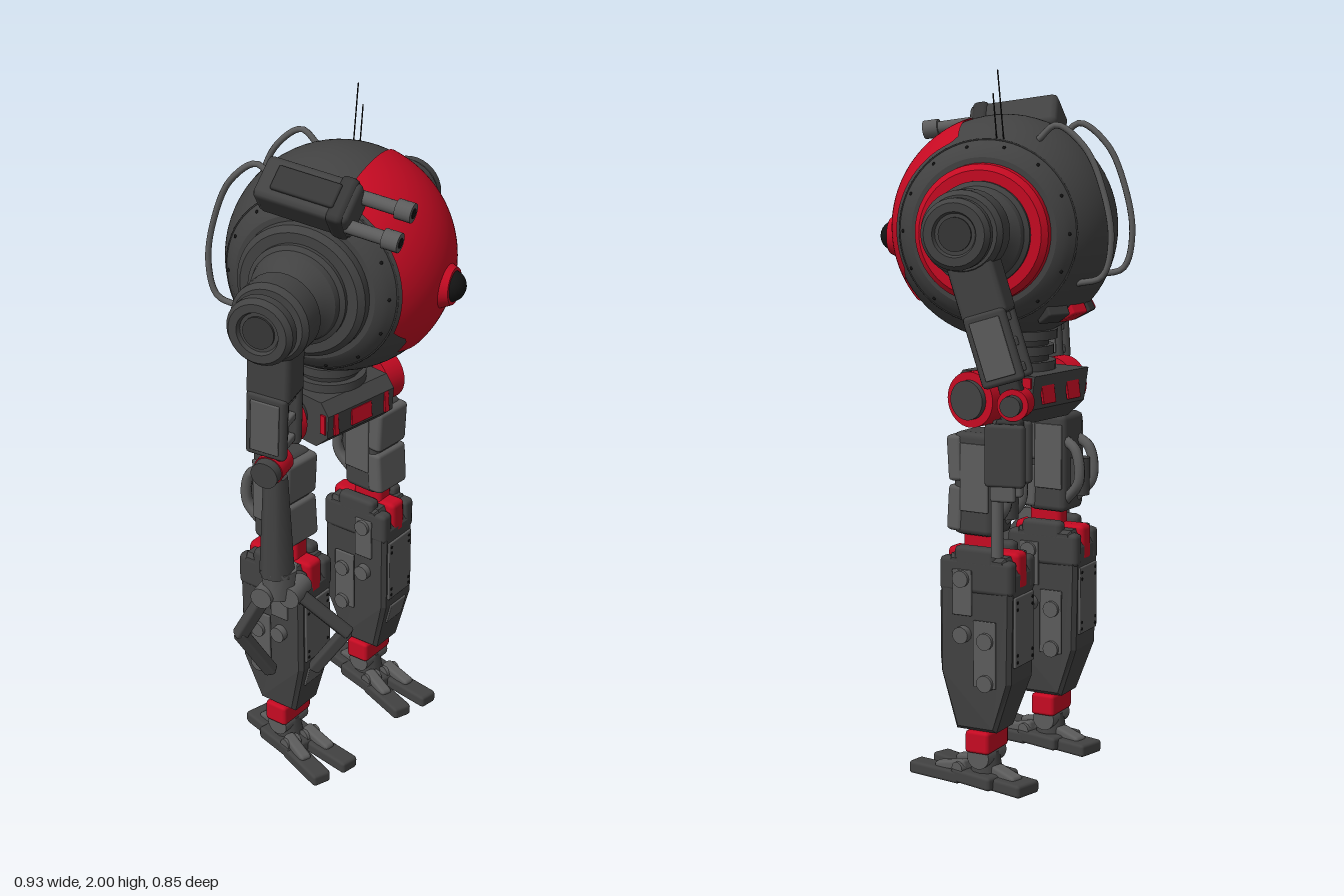
import * as THREE from 'three';
import { toCreasedNormals } from 'three/addons/utils/BufferGeometryUtils.js';
import { RoundedBoxGeometry } from 'three/addons/geometries/RoundedBoxGeometry.js';

const paint = (name, color) => {
  const m = new THREE.MeshStandardMaterial({ color });
  m.name = name;
  return m;
};
const DARK = paint('dark grey', 0x424242);
const MID = paint('mid grey', 0x5c5c5c);
const DEEP = paint('deep grey', 0x363636);
const RED = paint('red', 0xc60a22);
const BLACK = paint('black', 0x141414);
RED.side = THREE.DoubleSide;

function add(parent, name, geo, mat, pos = [0, 0, 0], rot = [0, 0, 0]) {
  const m = new THREE.Mesh(geo, mat);
  m.name = name;
  m.position.set(...pos);
  m.rotation.set(...rot);
  parent.add(m);
  return m;
}
function group(parent, name, pos = [0, 0, 0], rot = [0, 0, 0]) {
  const g = new THREE.Group();
  g.name = name;
  g.position.set(...pos);
  g.rotation.set(...rot);
  parent.add(g);
  return g;
}
const box = (w, h, d, r = 0.01) => new RoundedBoxGeometry(w, h, d, 1, r);
const cyl = (r1, r2, h, n = 24) => new THREE.CylinderGeometry(r1, r2, h, n);
const cylX = (r, w, n = 28) => cyl(r, r, w, n).rotateZ(Math.PI / 2);
const cylZ = (r1, r2, w, n = 24) => cyl(r1, r2, w, n).rotateX(Math.PI / 2);
// turned part whose axis runs out along x; s = 1 left, -1 right
function turnX(points, s = 1, n = 48) {
  const g = new THREE.LatheGeometry(points.map(p => new THREE.Vector2(...p)), n);
  g.rotateZ(-s * Math.PI / 2);
  return toCreasedNormals(g, 0.5);
}
function tube(pts, r, n = 24) {
  const curve = new THREE.CatmullRomCurve3(pts.map(p => new THREE.Vector3(...p)));
  return new THREE.TubeGeometry(curve, n, r, 8);
}
// straight bar between two points
function beam(parent, name, a, b, w, d, mat) {
  const A = new THREE.Vector3(...a), B = new THREE.Vector3(...b);
  const m = add(parent, name, box(w, A.distanceTo(B) + w * 0.5, d, 0.008), mat);
  m.position.copy(A).lerp(B, 0.5);
  m.quaternion.setFromUnitVectors(new THREE.Vector3(0, 1, 0), B.sub(A).normalize());
}

const R = 0.317, CY = 1.56;

function buildBody(up) {
  // ball with flat sides
  const prof = [[0, -0.235], [0.205, -0.235]];
  for (let i = 0; i <= 32; i++) {
    const x = -0.225 + 0.45 * i / 32;
    prof.push([Math.sqrt(R * R - x * x), x]);
  }
  prof.push([0.205, 0.235], [0, 0.235]);
  add(up, 'body', turnX(prof, 1, 72), DARK, [0, CY, 0]);

  // curved front plate with a stepped lower edge
  const plate = new THREE.PlaneGeometry(1, 1, 24, 40), p = plate.attributes.position;
  for (let i = 0; i < p.count; i++) {
    const v = p.getY(i) + 0.5;
    const hw = v < 0.09 ? 0.125 : v < 0.14 ? 0.125 + 1.2 * (v - 0.09) : v > 0.96 ? 0.187 - 0.4 * (v - 0.96) : 0.187;
    const x = p.getX(i) * 2 * hw, a = THREE.MathUtils.degToRad(-41 + 112 * v);
    const rho = Math.sqrt((R + 0.005) ** 2 - x * x);
    p.setXYZ(i, x, rho * Math.sin(a), rho * Math.cos(a));
  }
  plate.computeVertexNormals();
  add(up, 'frontPlate', plate, RED, [0, CY, 0]);

  // eye
  add(up, 'eyeRing', cylZ(0.052, 0.07, 0.04, 32), RED, [0, 1.53, 0.318]);
  add(up, 'eye', new THREE.SphereGeometry(0.045, 20, 12), BLACK, [0, 1.53, 0.325]);

  for (const s of [1, -1]) {
    // seams and rivets
    add(up, 'seam', new THREE.TorusGeometry(0.252, 0.003, 6, 64).rotateY(Math.PI / 2), DEEP, [s * 0.192, CY, 0]);
    for (let i = 0; i < 14; i++) {
      const a = i / 14 * Math.PI * 2, q = 0.236;
      add(up, 'rivet', new THREE.SphereGeometry(0.005, 6, 4), BLACK, [s * 0.212, CY + q * Math.sin(a), q * Math.cos(a)]);
    }
    // shoulder collar and neck
    add(up, 'collarRing', turnX([[0.187, 0.215], [0.19, 0.235], [0.188, 0.258], [0.172, 0.273], [0.12, 0.273]], s), s > 0 ? RED : DARK, [0, CY, 0]);
    add(up, 'shoulderCone', turnX([[0.143, 0.26], [0.143, 0.285], [0.13, 0.293], [0.125, 0.31], [0.09, 0.34], [0.07, 0.38]], s), DARK, [0, CY, 0]);
    // back hoop
    const hoop = [[1.81, -0.13], [1.85, -0.18], [1.79, -0.26], [1.68, -0.31], [1.54, -0.335], [1.44, -0.31], [1.42, -0.24]];
    add(up, 'backHoop', tube(hoop.map(([y, z]) => [s * 0.142, y, z]), 0.009, 40), MID);
  }

  // lower back blocks
  for (let i = -2; i <= 2; i++) {
    const b = group(up, 'rearBlock', [0, 0, 0], [0, i * 0.34, 0]);
    add(b, 'ventBlock', box(0.072, 0.06, 0.06, 0.006), i % 2 ? RED : DEEP, [0, 1.345, -0.215], [0.5, 0, 0]);
  }

  // aerials
  beam(up, 'aerial', [0.19, 1.76, -0.05], [0.168, 1.998, -0.022], 0.004, 0.004, BLACK);
  beam(up, 'aerial', [0.19, 1.76, -0.03], [0.178, 1.935, -0.012], 0.004, 0.004, BLACK);

  // twin gun on the right shoulder
  const gun = group(up, 'shoulderGun', [-0.266, 1.838, 0.035], [0.14, 0, 0.72]);
  add(gun, 'gunHousing', box(0.125, 0.11, 0.27, 0.018), DARK);
  add(gun, 'gunTop', box(0.07, 0.02, 0.18, 0.006), DEEP, [0, 0.056, 0]);
  add(gun, 'gunFront', box(0.135, 0.12, 0.05, 0.015), DEEP, [0, 0, 0.1]);
  add(gun, 'gunMount', box(0.05, 0.1, 0.09), DEEP, [0.02, -0.06, -0.02]);
  for (const x of [-0.044, 0.044]) {
    add(gun, 'barrel', cylZ(0.019, 0.019, 0.15, 16), MID, [x, -0.005, 0.185]);
    add(gun, 'muzzle', cylZ(0.027, 0.027, 0.045, 16), MID, [x, -0.005, 0.25]);
    add(gun, 'bore', cylZ(0.014, 0.014, 0.003, 12), BLACK, [x, -0.005, 0.273]);
  }
}

function buildArm(up, s) {
  // shoulder drum and outer disc
  const sh = group(up, s > 0 ? 'leftShoulder' : 'rightShoulder', [0, s > 0 ? 1.575 : 1.55, 0]);
  add(sh, 'shoulderDrum', turnX([[0, 0.36], [0.1, 0.36], [0.113, 0.375], [0.113, 0.445], [0.1, 0.46], [0, 0.46]], s, 32), DARK);
  add(sh, 'shoulderDisc', turnX([[0.05, 0.45], [0.05, 0.47], [0.085, 0.47], [0.095, 0.48], [0.095, 0.505], [0.083, 0.52], [0.06, 0.52], [0.055, 0.508], [0, 0.508]], s, 32), DARK);
  add(sh, 'discCentre', cylX(0.045, 0.006), DEEP, [s * 0.511, 0, 0]);

  // upper arm
  const arm = group(up, 'upperArm', [s * 0.405, s > 0 ? 1.56 : 1.535, 0], [s > 0 ? 0.3 : 0.08, 0, s > 0 ? 0 : 0.09]);
  add(arm, 'upperArmBlock', box(0.105, 0.18, 0.13, 0.015), DARK, [0, -0.13, 0]);
  add(arm, 'armCore', box(0.05, 0.2, 0.07), DEEP, [0, -0.3, 0]);
  for (const x of [-1, 1]) {
    add(arm, 'armRail', box(0.03, 0.2, 0.12, 0.012), DARK, [x * 0.045, -0.3, 0]);
    add(arm, 'armPlate', box(0.008, 0.16, 0.085, 0.003), MID, [x * 0.061, -0.3, 0]);
  }
  for (const y of [-0.23, -0.3, -0.37]) add(arm, 'armBrace', box(0.06, 0.025, 0.1, 0.005), MID, [0, y, 0]);
  // elbow, with a dark cap on the outside
  add(arm, 'elbow', cylX(0.043, 0.07), RED, [-s * 0.003, -0.46, 0]);
  add(arm, 'elbowCap', cylX(s > 0 ? 0.028 : 0.04, 0.03), DARK, [s * 0.045, -0.46, 0]);
  add(arm, 'elbowLink', box(0.05, 0.06, 0.06), DEEP, [0, -0.41, 0]);
}

function buildForearms(up) {
  // right forearm with claw
  add(up, 'forearm', cyl(0.034, 0.05, 0.31, 8), DARK, [-0.36, 0.885, -0.033], [0, 0.39, -0.02]);
  add(up, 'wrist', cyl(0.055, 0.042, 0.09, 8), MID, [-0.354, 0.7, -0.03]);
  const claws = [
    [[-0.368, 0.665, -0.06], [-0.4, 0.52, -0.133], [-0.332, 0.37, -0.074]],
    [[-0.335, 0.665, 0.01], [-0.266, 0.52, 0.138], [-0.286, 0.385, 0.048]]
  ];
  for (const [a, b, c] of claws) {
    add(up, 'clawJoint', cylX(0.032, 0.09, 16), MID, a);
    beam(up, 'clawFinger', a, b, 0.038, 0.038, DARK);
    beam(up, 'clawTip', b, c, 0.036, 0.036, DARK);
  }
  // left forearm with long barrel
  for (const x of [-1, 1]) {
    add(up, 'forearmPlate', box(0.03, 0.17, 0.11, 0.01), DARK, [0.405 + x * 0.038, 0.985, -0.117]);
    add(up, 'forearmTip', box(0.024, 0.06, 0.07, 0.008), MID, [0.405 + x * 0.038, 0.89, -0.112]);
  }
  add(up, 'forearmCore', box(0.05, 0.12, 0.07), DEEP, [0.405, 1.02, -0.12]);
  add(up, 'armBarrel', cyl(0.017, 0.017, 0.29, 14), MID, [0.402, 0.845, -0.085]);
}

function buildPelvis(hips) {
  // bellows waist
  [0.09, 0.105, 0.085, 0.1, 0.085, 0.11].forEach((r, i) =>
    add(hips, 'waistRing', cyl(r, r, 0.026, 32), i % 2 ? DARK : DEEP, [0, 1.155 + i * 0.022, 0]));
  // hip block with sloping underside
  const sh = new THREE.Shape([[-0.15, 1.165], [-0.135, 1.07], [-0.08, 1.02], [0.08, 1.02], [0.125, 1.06], [0.13, 1.13], [0.1, 1.165]].map(p => new THREE.Vector2(...p)));
  const g = new THREE.ExtrudeGeometry(sh, { depth: 0.26, bevelEnabled: false });
  g.translate(0, 0, -0.13).rotateY(-Math.PI / 2);
  add(hips, 'pelvis', g, DARK);
  for (const x of [-0.1, 0, 0.1])
    add(hips, 'pelvisFrontMark', box(x ? 0.018 : 0.08, x ? 0.065 : 0.05, 0.008, 0.002), RED, [x, 1.097, 0.129], [-0.07, 0, 0]);
  for (const s of [1, -1]) {
    add(hips, 'pelvisBackMark', box(0.06, 0.065, 0.008, 0.002), RED, [s * 0.06, 1.115, -0.144], [0.15, 0, 0]);
    add(hips, 'pelvisSideMark', box(0.008, 0.06, 0.02, 0.002), RED, [s * 0.131, 1.1, 0.11]);
    add(hips, 'pelvisSideMark', box(0.008, 0.03, 0.03, 0.002), RED, [s * 0.131, 1.145, -0.125]);
    // hip joints
    add(hips, 'hipDisc', cylX(0.078, 0.066, 36), RED, [s * 0.195, 1.1, 0]);
    add(hips, 'hipCap', cylX(0.055, 0.02, 32), DARK, [s * 0.235, 1.1, 0]);
    add(hips, 'hipAxle', cylX(0.045, 0.08), DEEP, [s * 0.15, 1.1, 0]);
  }
}

function buildThigh(thighs, s) {
  const leg = group(thighs, s > 0 ? 'leftThigh' : 'rightThigh', [s * 0.202, 0, 0]);
  add(leg, 'thigh', box(0.12, 0.29, 0.125, 0.018), DARK, [0, 0.87, 0]);
  add(leg, 'thighUpperPlate', box(0.128, 0.13, 0.05, 0.012), MID, [0, 0.94, 0.055], [0.06, 0, 0]);
  add(leg, 'thighLowerPlate', box(0.128, 0.13, 0.05, 0.012), MID, [0, 0.8, 0.055], [-0.06, 0, 0]);
  for (const x of [-1, 1]) {
    add(leg, 'thighSidePlate', box(0.008, 0.19, 0.09, 0.003), MID, [x * 0.062, 0.89, -0.01]);
    add(leg, 'thighPipe', tube([[x * 0.035, 0.94, -0.05], [x * 0.04, 0.91, -0.09], [x * 0.04, 0.82, -0.1], [x * 0.03, 0.76, -0.05]], 0.016), MID);
  }
  add(leg, 'thighPiston', cyl(0.03, 0.03, 0.11, 16), DARK, [0, 0.83, -0.08]);
}

function buildShin(shins, s) {
  const leg = group(shins, s > 0 ? 'leftShin' : 'rightShin', [s * 0.207, 0, 0]);
  // knee, set between two cheeks
  add(leg, 'kneeLink', box(0.058, 0.13, 0.1, 0.012), RED, [0, 0.7, 0.01]);
  add(leg, 'knee', box(0.062, 0.11, 0.226, 0.015), RED, [0, 0.63, -0.003]);
  for (const x of [-1, 1]) {
    add(leg, 'kneeCheek', box(0.042, 0.06, 0.13, 0.015), DARK, [x * 0.057, 0.67, 0]);
    add(leg, 'shinCheek', box(0.045, 0.1, 0.228, 0.015), DARK, [x * 0.056, 0.617, -0.003]);
  }
  // shin shell
  const sh = new THREE.Shape([[-0.085, 0.665], [0.07, 0.665], [0.1, 0.6], [0.1, 0.34], [0.06, 0.18], [-0.05, 0.18], [-0.1, 0.32], [-0.105, 0.62]].map(p => new THREE.Vector2(...p)));
  const g = new THREE.ExtrudeGeometry(sh, { depth: 0.125, bevelSize: 0.01, bevelThickness: 0.014, bevelSegments: 1 });
  g.translate(0, 0, -0.0625).rotateY(-Math.PI / 2);
  const p = g.attributes.position;
  for (let i = 0; i < p.count; i++) if (p.getY(i) < 0.3) p.setX(i, p.getX(i) * 0.8);
  g.computeVertexNormals();
  add(leg, 'shin', g, DARK);
  for (const z of [0.112, -0.116]) {
    add(leg, 'shinPanel', box(0.115, 0.2, 0.009, 0.003), MID, [0, 0.465, z]);
    for (const x of [-0.045, 0.045]) for (const y of [0.38, 0.4, 0.53, 0.55])
      add(leg, 'panelBolt', cylZ(0.005, 0.005, 0.012, 8), BLACK, [x, y, z]);
  }
  add(leg, 'shinToePlate', box(0.08, 0.07, 0.009, 0.003), MID, [0, 0.3, 0.101], [0.245, 0, 0]);
  for (const x of [-1, 1]) {
    add(leg, 'shinSidePlate', box(0.009, 0.19, 0.07, 0.003), MID, [x * 0.079, 0.4, -0.035]);
    add(leg, 'shinSidePlate', box(0.009, 0.13, 0.06, 0.003), MID, [x * 0.079, 0.57, 0.035]);
    for (const [y, z] of [[0.61, 0.035], [0.45, 0.035], [0.44, -0.04], [0.32, -0.04]])
      add(leg, 'shinKnob', cylX(0.024, 0.026, 14), MID, [x * 0.081, y, z]);
  }
  // ankle
  add(leg, 'ankleBlock', box(0.13, 0.065, 0.075), RED, [0, 0.137, 0]);
  add(leg, 'ankleAxle', cylX(0.034, 0.11, 20), MID, [0, 0.092, 0]);
  add(leg, 'anklePost', cyl(0.035, 0.05, 0.08, 12), DARK, [0, 0.06, 0]);
  // foot, turned to point more nearly forward than the shin
  const foot = group(leg, 'foot', [0, 0, 0], [0, -0.26, 0]);
  add(foot, 'footBase', box(0.13, 0.04, 0.15), DARK, [0, 0.024, 0.01]);
  add(foot, 'heel', box(0.09, 0.038, 0.12), DARK, [0, 0.019, -0.1]);
  add(foot, 'heelRidge', box(0.045, 0.03, 0.09), MID, [0, 0.042, -0.075], [-0.25, 0, 0]);
  for (const x of [-1, 1]) {
    add(foot, 'toe', box(0.06, 0.038, 0.18), DARK, [x * 0.044, 0.019, 0.145], [0, x * 0.1, 0]);
    add(foot, 'toeRidge', box(0.036, 0.03, 0.11), MID, [x * 0.04, 0.046, 0.095], [0.22, x * 0.1, 0]);
    add(foot, 'toeKnuckle', cylX(0.02, 0.05, 14), MID, [x * 0.036, 0.045, 0.06]);
  }
}

export function createModel() {
  const root = new THREE.Group();
  root.name = 'robot';
  // each level of the body is turned a little further about the vertical
  const up = group(root, 'upperBody', [0, 0, 0], [0, 0.645, 0]);
  const hips = group(root, 'hips', [-0.008, 0, -0.05], [0, 0.27, 0]);
  const thighs = group(root, 'thighs', [-0.008, 0, -0.058], [0, 0.36, 0]);
  const shins = group(root, 'shins', [-0.008, 0, -0.058], [0, 0.43, 0]);
  buildBody(up);
  buildForearms(up);
  buildPelvis(hips);
  for (const s of [1, -1]) {
    buildArm(up, s);
    buildThigh(thighs, s);
    buildShin(shins, s);
  }
  return root;
}
